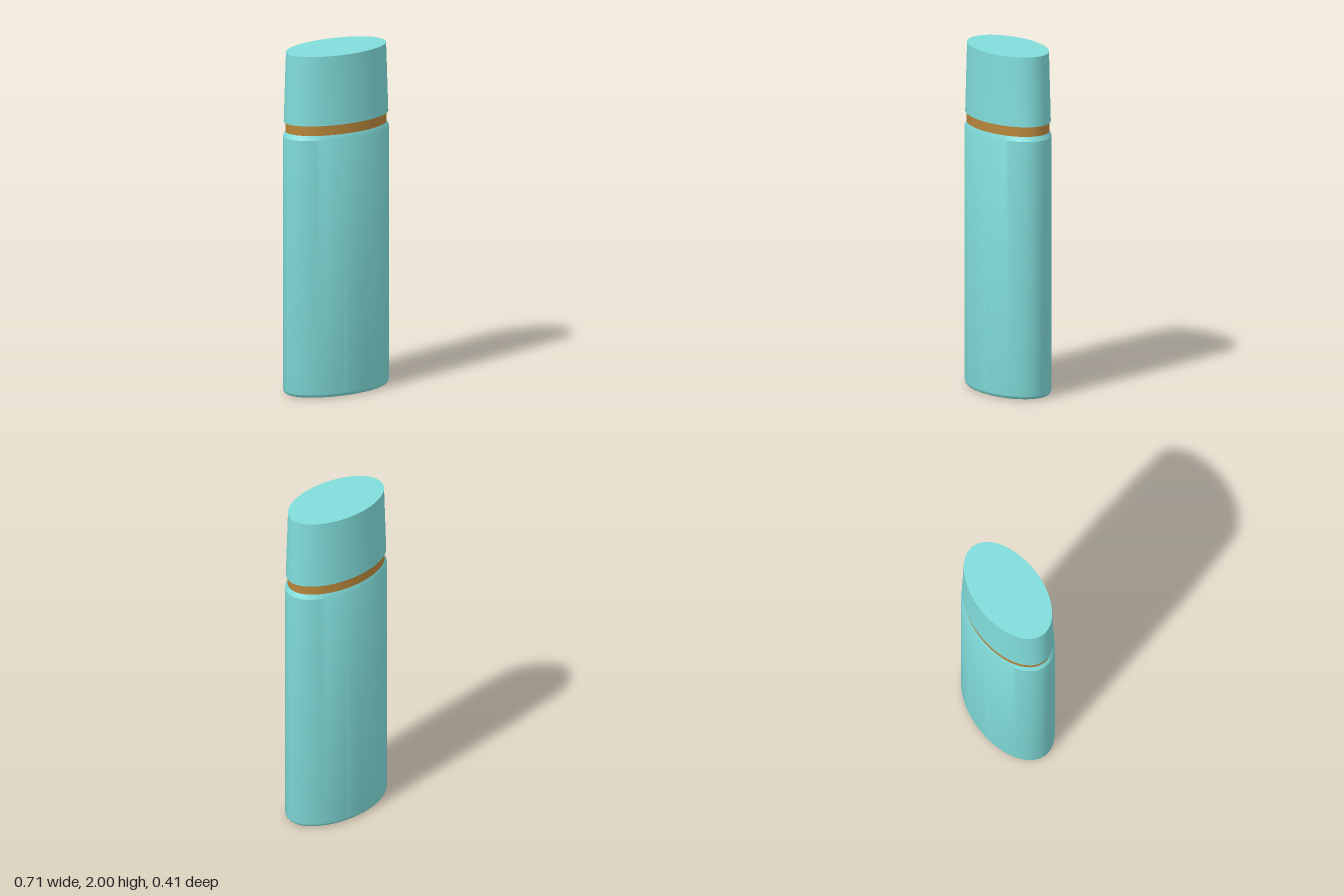
import * as THREE from 'three';
import { toCreasedNormals } from 'three/addons/utils/BufferGeometryUtils.js';

const DEPTH_RATIO = 0.582; // oval cross-section: depth over width

// Turned profile (bottom to top), squashed to an oval, with sharp rims kept
function ovalPart(name, profile, material) {
  const points = profile.map(([r, y]) => new THREE.Vector2(r, y));
  const geometry = new THREE.LatheGeometry(points, 96);
  geometry.scale(1, 1, DEPTH_RATIO);
  const mesh = new THREE.Mesh(toCreasedNormals(geometry, 0.4), material);
  mesh.name = name;
  return mesh;
}

export function createModel() {
  const teal = new THREE.MeshStandardMaterial({ color: 0x80dcda });
  teal.name = 'teal';
  const bronze = new THREE.MeshStandardMaterial({ color: 0xb8863b });
  bronze.name = 'bronze';

  const group = new THREE.Group();
  group.name = 'bottle';

  // Body: rounded foot, straight wall, bevelled shoulder
  const radius = 0.356, fillet = 0.03;
  const body = [[0, 0]];
  for (let i = 0; i <= 6; i++) {
    const a = (i / 6) * Math.PI / 2;
    body.push([radius - fillet + fillet * Math.sin(a), fillet - fillet * Math.cos(a)]);
  }
  body.push([radius, 1.51], [0.34, 1.537], [0, 1.537]);
  group.add(ovalPart('body', body, teal));

  // Neck ring between body and cap
  group.add(ovalPart('neckRing', [[0.34, 1.535], [0.34, 1.597]], bronze));

  // Cap: tapers slightly to a flat top
  group.add(ovalPart('cap', [[0, 1.595], [0.351, 1.595], [0.336, 2], [0, 2]], teal));

  return group;
}
